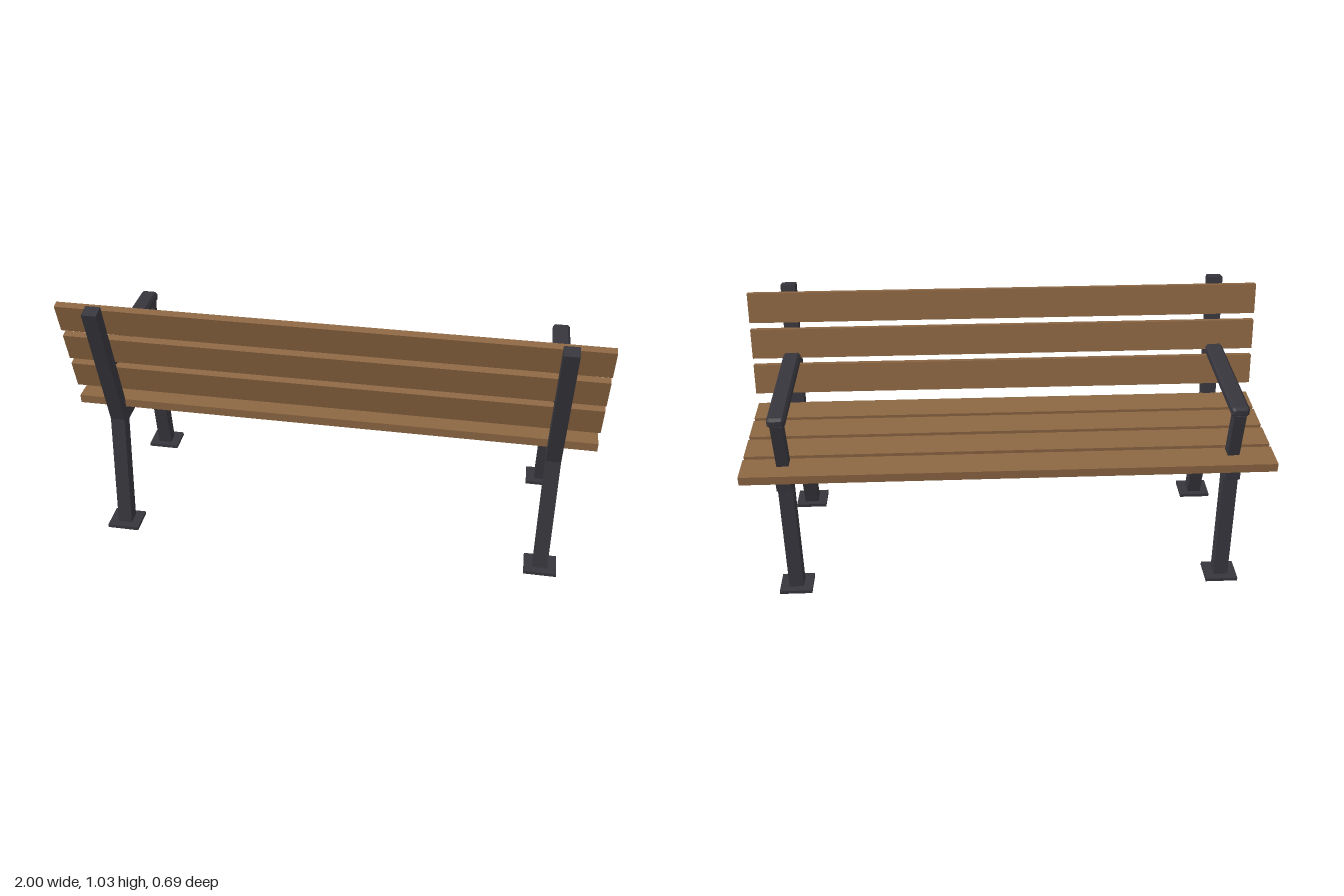
import * as THREE from 'three';

const wood = new THREE.MeshStandardMaterial({ name: 'wood', color: 0x8c6642 });
const iron = new THREE.MeshStandardMaterial({ name: 'darkIron', color: 0x37363d });

// Extrude a side profile given as [z, y] points, centred on x
function sideProfile(points, width) {
  const shape = new THREE.Shape(points.map(([z, y]) => new THREE.Vector2(z, y)));
  const geo = new THREE.ExtrudeGeometry(shape, { depth: width, bevelEnabled: false });
  return geo.translate(0, 0, -width / 2).rotateY(-Math.PI / 2);
}

// Armrest bar with chamfered edges and ends
function chamferedBar(width, height, length, c) {
  const w = width / 2 - c, h = height / 2 - c, k = 0.003;
  const shape = new THREE.Shape([
    [w - k, -h], [w, -h + k], [w, h - k], [w - k, h],
    [-w + k, h], [-w, h - k], [-w, -h + k], [-w + k, -h],
  ].map(([x, y]) => new THREE.Vector2(x, y)));
  const geo = new THREE.ExtrudeGeometry(shape, {
    depth: length - 2 * c, bevelEnabled: true, bevelSegments: 1, bevelSize: c, bevelThickness: c,
  });
  return geo.translate(0, 0, -length / 2 + c);
}

function add(parent, name, geometry, material, x = 0, y = 0, z = 0) {
  const mesh = new THREE.Mesh(geometry, material);
  mesh.name = name;
  mesh.position.set(x, y, z);
  parent.add(mesh);
  return mesh;
}

function createFrame(name, x) {
  const frame = new THREE.Group();
  frame.name = name;
  frame.position.x = x;

  // Rear leg bending into the backrest post
  add(frame, 'rearPost', sideProfile([
    [0.345, 1.025], [0.221, 0.487], [0.296, 0.009], [0.244, 0.001], [0.168, 0.485], [0.296, 1.036],
  ], 0.056), iron);

  // Rail under the seat
  add(frame, 'seatRail', sideProfile([
    [0.195, 0.517], [0.195, 0.461], [-0.299, 0.472], [-0.299, 0.528],
  ], 0.056), iron);

  // Front leg and armrest support
  add(frame, 'frontLeg', sideProfile([
    [-0.219, 0.51], [-0.267, 0.005], [-0.319, 0.01], [-0.271, 0.51],
  ], 0.056), iron);
  add(frame, 'armrestSupport', sideProfile([
    [-0.247, 0.75], [-0.218, 0.505], [-0.263, 0.505], [-0.292, 0.75],
  ], 0.045), iron);

  // Armrest
  add(frame, 'armrest', chamferedBar(0.066, 0.04, 0.52, 0.01), iron, 0, 0.765, -0.033);

  // Floor plates
  for (const z of [0.271, -0.293]) {
    add(frame, 'footPlate', new THREE.BoxGeometry(0.126, 0.014, 0.104), iron, 0, 0.013, z);
  }
  return frame;
}

export function createModel() {
  const bench = new THREE.Group();
  bench.name = 'bench';

  bench.add(createFrame('leftFrame', 0.845), createFrame('rightFrame', -0.845));

  // Seat slats
  for (let i = 0; i < 4; i++) {
    add(bench, 'seatSlat', new THREE.BoxGeometry(2, 0.034, 0.117), wood, 0, 0.547, 0.13 - i * 0.1355);
  }

  // Backrest slats, leaning with the posts
  for (let i = 0; i < 3; i++) {
    const slat = add(bench, 'backSlat', new THREE.BoxGeometry(2, 0.117, 0.028), wood,
      0, 0.677 + i * 0.1415, 0.192 + i * 0.032);
    slat.rotation.x = THREE.MathUtils.degToRad(13);
  }
  return bench;
}
